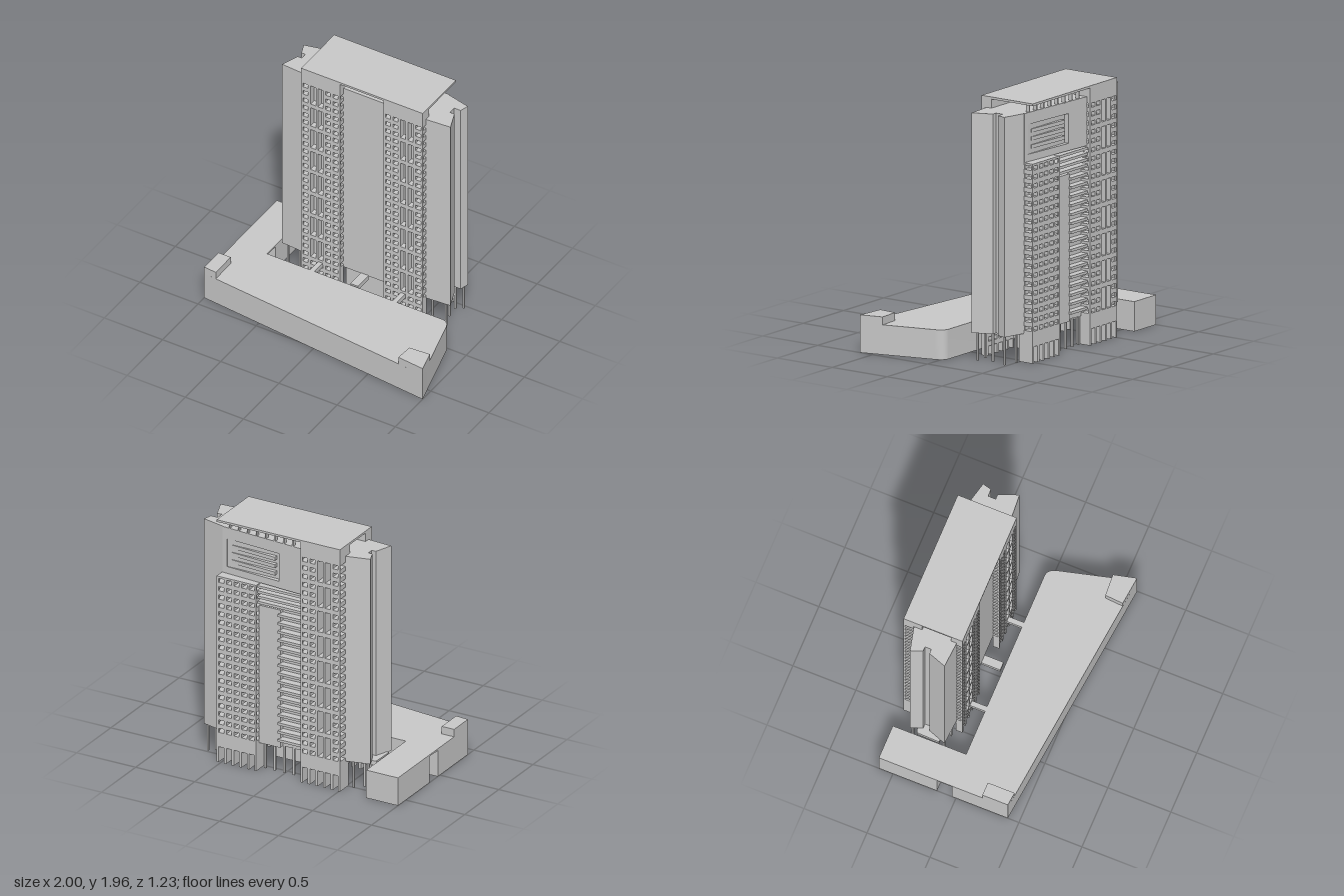
import * as THREE from 'three';
import { mergeGeometries, toCreasedNormals } from 'three/addons/utils/BufferGeometryUtils.js';

const concrete = new THREE.MeshStandardMaterial({ color: 0xcacaca });
concrete.name = 'concrete grey';

// Box from its minimum and maximum corners
function box(x0, x1, y0, y1, z0, z1) {
  return new THREE.BoxGeometry(x1 - x0, y1 - y0, z1 - z0)
    .translate((x0 + x1) / 2, (y0 + y1) / 2, (z0 + z1) / 2);
}

// Upright prism from a plan of [x, z] points, with an optional hole wound the other way
function prism(plan, y0, y1, hole) {
  const toPoints = pts => pts.map(([x, z]) => new THREE.Vector2(x, -z));
  const shape = new THREE.Shape(toPoints(plan));
  if (hole) shape.holes.push(new THREE.Path(toPoints(hole).reverse()));
  const g = new THREE.ExtrudeGeometry(shape, { depth: y1 - y0, bevelEnabled: false });
  return toCreasedNormals(g.rotateX(-Math.PI / 2).translate(0, y0, 0), 0.5);
}

const PITCH = 0.0675;      // storey height
const TOP = 1.81;          // centre of the highest window row
const WIN = 0.0165;        // half window height

// Egg-crate window screen: columns = [centre x, tall?]; skin is the outer z, back the inner z.
// rows counts the window rows from the top; fin is how deep the ground-floor fins reach.
function screen(x0, x1, columns, firstRow, rows, top, skin, back, fin) {
  const parts = [];
  const slab = (a, b, lo, hi, near, far) =>
    parts.push(box(a, b, lo, hi, Math.min(near, far), Math.max(near, far)));
  const rim = skin + Math.sign(back - skin) * 0.012;
  const half = 0.0225;
  const n = columns.length;
  // mullions, shallow at both ends so the corners stay open, on full-depth fins
  for (let i = 0; i <= n; i++) {
    const a = i === 0 ? x0 : columns[i - 1][0] + half;
    const b = i === n ? x1 : columns[i][0] - half;
    slab(a, b, 0.22, top, skin, i === 0 || i === n ? rim : back);
    slab(a, b, 0, 0.22, skin, fin);
  }
  // spandrels between windows
  columns.forEach(([cx, tall], i) => {
    const a = i === 0 ? x0 : cx - half, b = i === n - 1 ? x1 : cx + half;
    slab(a, b, TOP - firstRow * PITCH + WIN, top, skin, back);
    for (let r = firstRow; r < rows; r++) {
      if (tall && r % 3 !== 2 && r < 23) continue;
      const lo = r === 23 && rows === 24 ? 0.125 : TOP - (r + 1) * PITCH + WIN;
      slab(a, b, lo, TOP - r * PITCH - WIN, skin, back);
    }
  });
  return mergeGeometries(parts);
}

export function createModel() {
  const model = new THREE.Group();
  model.name = 'towerBlock';
  const add = (name, ...geos) => geos.forEach(g => {
    const m = new THREE.Mesh(g, concrete);
    m.name = name;
    model.add(m);
  });

  // Podium: hollow front hall, hollow rear wing and a common roof with a passage beneath
  const bend = new THREE.QuadraticBezierCurve(
    new THREE.Vector2(0.78, -0.03), new THREE.Vector2(0.838, -0.025), new THREE.Vector2(0.853, 0.05))
    .getPoints(10).map(p => [p.x, p.y]);
  const hall = [[-1, -0.03], ...bend, [1, 0.615], [-1, 0.412]];
  const hallInner = hall.map(([x, z]) => [x * 0.99, 0.26 + (z - 0.26) * 0.96]);
  const wing = [[-1, -0.612], [-0.73, -0.612], [-0.73, -0.15], [-1, -0.15]];
  const wingInner = wing.map(([x, z]) => [-0.865 + (x + 0.865) * 0.94, -0.381 + (z + 0.381) * 0.96]);
  add('podiumWalls', prism(hall, 0, 0.212, hallInner));
  add('podiumWing', prism(wing, 0, 0.212, wingInner));
  add('podiumRoof', prism([[-1, -0.612], [-0.73, -0.612], [-0.73, -0.03], ...hall.slice(1)], 0.212, 0.225));
  add('podiumCornerBlock',
    prism([[-1, 0.21], [-0.895, 0.21], [-0.895, 0.422], [-1, 0.412]], 0.225, 0.285),
    prism([[0.787, 0.45], [0.957, 0.44], [1, 0.615], [0.777, 0.592]], 0.225, 0.285));

  // Link bridges to the tower
  for (const x of [-0.345, 0.365]) add('bridge', box(x - 0.02, x + 0.02, 0.185, 0.22, -0.2, -0.03));
  add('entranceCanopy', box(-0.025, 0.04, 0.185, 0.22, -0.2, -0.05));
  add('sideCanopy', prism([[-0.715, -0.25], [-0.71, -0.43], [-0.6, -0.46], [-0.6, -0.25]], 0.185, 0.22));

  // Tower core, over a recessed ground-floor wall
  add('towerCore', box(-0.505, 0.525, 0.215, 1.875, -0.537, -0.2));
  add('groundWall', box(-0.175, 0.2, 0, 0.215, -0.32, -0.23));

  // Side wings with a notched end
  const wingR = [[0.52, -0.537], [0.715, -0.49], [0.697, -0.42], [0.64, -0.42],
    [0.64, -0.36], [0.68, -0.36], [0.737, -0.21], [0.52, -0.195]];
  const wingL = [[-0.5, -0.537], [-0.695, -0.49], [-0.66, -0.4], [-0.625, -0.4],
    [-0.625, -0.35], [-0.66, -0.35], [-0.71, -0.21], [-0.5, -0.195]];
  add('sideWing', prism(wingR, 0.215, 1.875), prism(wingL, 0.215, 1.875));

  // Thin columns under the wings and the core
  const post = (x, z, r = 0.007) => add('column', box(x - r, x + r, 0, 0.22, z - r, z + r));
  for (const s of [1, -1]) {
    for (const [x, z] of [[0.69, -0.475], [0.64, -0.44], [0.69, -0.23], [0.65, -0.34], [0.58, -0.5], [0.58, -0.22]])
      post(s * x + (s < 0 ? 0.02 : 0), z);
  }
  for (const x of [-0.15, -0.07, 0.01, 0.09, 0.17]) post(x, -0.53, 0.008);

  // Window screens, front and rear
  const left = [[-0.472, 0], [-0.406, 1], [-0.343, 1], [-0.278, 0], [-0.214, 0]];
  const right = [[0.237, 0], [0.301, 0], [0.366, 1], [0.431, 1], [0.496, 0]];
  add('frontScreen',
    screen(-0.51, -0.175, left, 0, 26, 1.875, -0.15, -0.2, -0.2),
    screen(0.2, 0.535, right, 0, 26, 1.875, -0.15, -0.2, -0.2));
  add('rearScreen',
    screen(-0.51, -0.175, left, 0, 24, 1.875, -0.617, -0.537, -0.49),
    screen(0.2, 0.535, right.map(([x]) => [x, 0]), 5, 24, 1.505, -0.617, -0.537, -0.49));

  // Rear upper panel, angled in plan, framing a recess with three bars
  const slant = x => -0.538 - 0.05 * (0.53 - x) / 0.705;
  const panel = (x0, x1, y0, y1, inset = 0) =>
    prism([[x0, -0.52], [x0, slant(x0) + inset], [x1, slant(x1) + inset], [x1, -0.52]], y0, y1);
  add('rearPanel',
    panel(-0.175, 0.03, 1.505, 1.875),
    panel(0.49, 0.53, 1.505, 1.875),
    panel(0.03, 0.49, 1.505, 1.56),
    panel(0.03, 0.49, 1.785, 1.875));
  for (const y of [1.61, 1.67, 1.73]) add('recessBar', panel(0.07, 0.45, y - 0.014, y + 0.014, 0.002));

  // Rear middle bay: plain wall, wide louvres above and balcony slabs beside it
  add('rearWall', box(0.02, 0.2, 0.215, 1.33, -0.575, -0.53));
  for (let i = 0; i < 4; i++) {
    const y = 1.35 + i * 0.042;
    add('louvre', box(-0.175, 0.2, y, y + 0.02, -0.595, -0.53));
  }
  for (let i = 0; i < 16; i++) {
    const y = 0.27 + i * PITCH;
    add('balconySlab', box(-0.175, 0.03, y, y + 0.02, -0.595, -0.53));
  }

  // Crown: corner blocks, slim posts and the roof slab
  add('crownBlock',
    box(-0.51, -0.175, 1.875, 1.945, -0.24, -0.15),
    box(0.2, 0.535, 1.875, 1.945, -0.24, -0.15),
    box(-0.51, -0.175, 1.875, 1.945, -0.617, -0.47));
  for (let i = 0; i < 8; i++) {
    const x = -0.09 + i * 0.08;
    add('crownPost', box(x - 0.005, x + 0.005, 1.87, 1.945, slant(x), slant(x) + 0.03));
  }
  add('roofSlab', box(-0.51, 0.535, 1.943, 1.96, -0.617, -0.15));

  return model;
}
